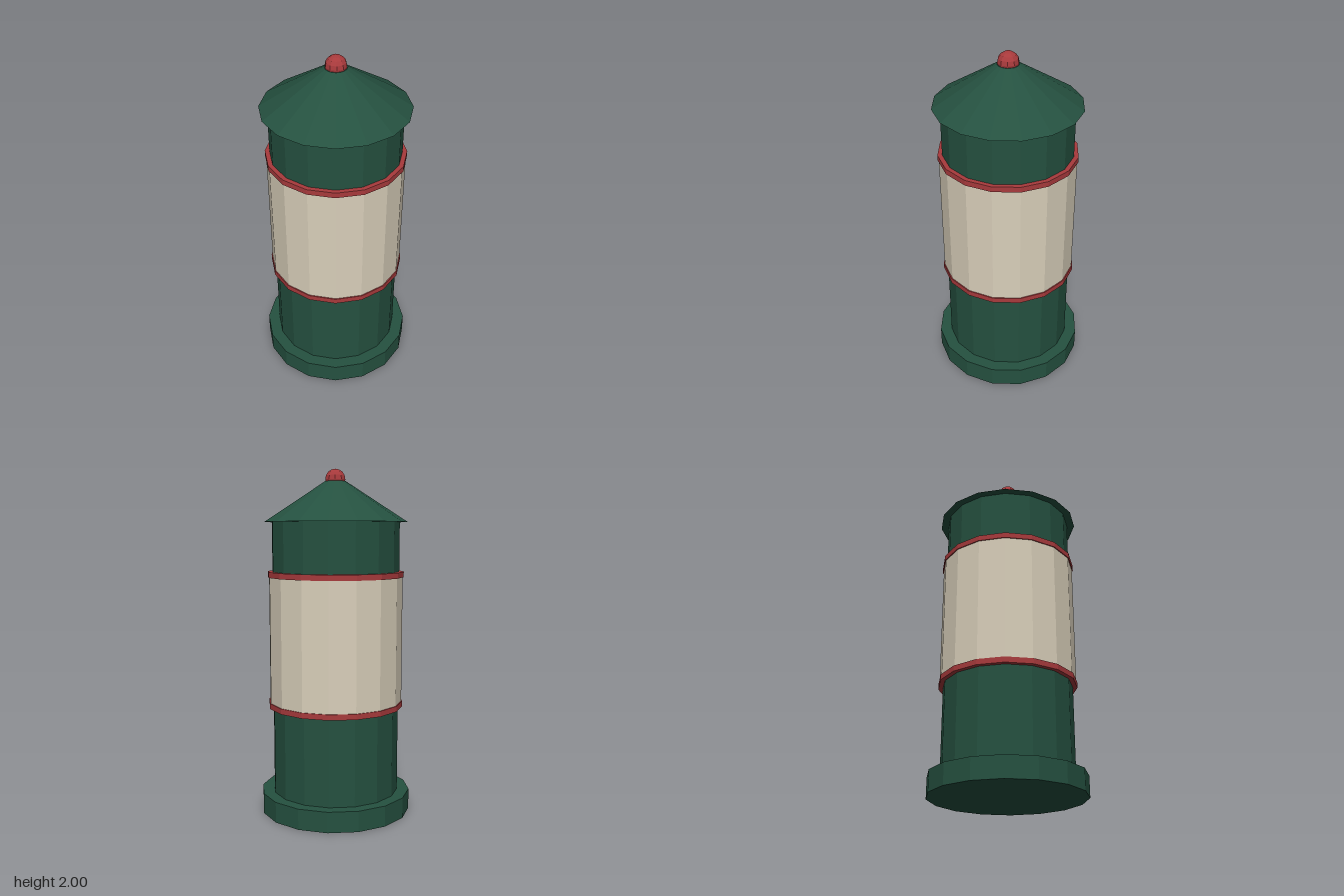
import * as THREE from 'three';

const SIDES = 16;

function material(name, color) {
  const m = new THREE.MeshStandardMaterial({ color, flatShading: true });
  m.name = name;
  return m;
}

export function createModel() {
  const group = new THREE.Group();
  group.name = 'advertisingColumn';
  const green = material('dark green', 0x255140);
  const cream = material('cream', 0xd9cfba);
  const red = material('red', 0xa83a3c);

  function add(name, geometry, mat, y) {
    const mesh = new THREE.Mesh(geometry, mat);
    mesh.name = name;
    mesh.position.y = y;
    group.add(mesh);
  }

  // Faceted drum standing between two heights
  function drum(name, mat, bottom, top, rBottom, rTop = rBottom) {
    const geometry = new THREE.CylinderGeometry(rTop, rBottom, top - bottom, SIDES);
    add(name, geometry, mat, (bottom + top) / 2);
  }

  // Plinth, shaft and poster panel
  drum('base', green, 0, 0.12, 0.44);
  drum('shaft', green, 0.12, 1.7, 0.37);
  drum('posterPanel', cream, 0.64, 1.4, 0.39);

  // Trim rings at both ends of the panel
  drum('lowerRing', red, 0.625, 0.657, 0.396);
  drum('upperRing', red, 1.385, 1.417, 0.396);

  // Conical roof and round finial
  drum('roof', green, 1.7, 1.93, 0.415, 0.06);
  add('finial', new THREE.SphereGeometry(0.06, 10, 8), red, 1.94);

  return group;
}
